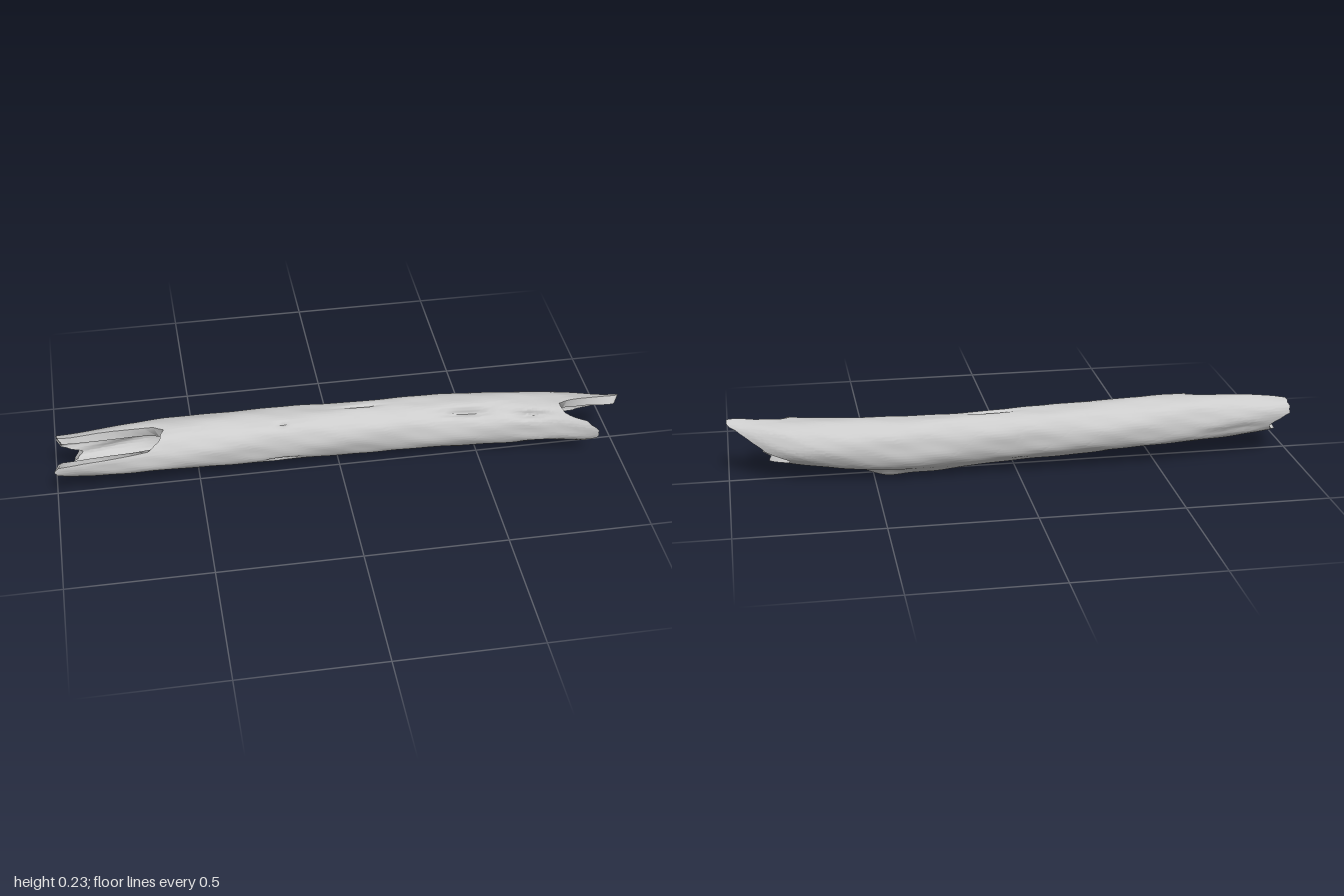
import * as THREE from 'three';
import { toCreasedNormals } from 'three/addons/utils/BufferGeometryUtils.js';

// Linear interpolation through [key, value...] rows
function lookup(rows, t, k = 1) {
  let i = 0;
  while (i < rows.length - 2 && t > rows[i + 1][0]) i++;
  const a = rows[i], b = rows[i + 1];
  const f = THREE.MathUtils.clamp((t - a[0]) / (b[0] - a[0]), 0, 1);
  return a[k] + (b[k] - a[k]) * f;
}

// Averaged lookup, so the long outline has no kinks
function smooth(rows, t, k) {
  let s = 0;
  for (let i = -2; i <= 2; i++) s += lookup(rows, t + i * 0.03, k);
  return s / 5;
}

// Outline along the shaft: x, bottom, top, back, front
const OUTLINE = [
  [-1, 0.093, 0.208, -0.092, 0.066], [-0.8, 0.072, 0.222, -0.112, 0.066],
  [-0.6, 0.058, 0.23, -0.126, 0.056], [-0.4, 0.052, 0.227, -0.136, 0.052],
  [-0.2, 0.042, 0.222, -0.14, 0.046], [0, 0.034, 0.217, -0.131, 0.04],
  [0.2, 0.027, 0.212, -0.132, 0.037], [0.4, 0.026, 0.208, -0.138, 0.046],
  [0.6, 0.036, 0.207, -0.122, 0.066], [0.8, 0.053, 0.206, -0.085, 0.102],
  [0.9, 0.06, 0.212, -0.04, 0.137], [1, 0.075, 0.228, 0.008, 0.15],
];

// Broken ends: angle in degrees (0 front, 90 top, 180 back), x of the edge
const LEFT_EDGE = [
  [0, 0.91], [15, 0.89], [30, 0.87], [38, 0.83], [50, 0.79], [72, 0.78], [88, 0.83], [105, 0.91],
  [118, 0.98], [124, 1], [146, 0.995], [152, 0.97], [166, 0.94], [180, 0.9], [195, 0.87], [215, 0.79],
  [240, 0.8], [262, 0.86], [280, 0.83], [300, 0.88], [318, 0.86], [335, 0.91], [360, 0.91],
];
const RIGHT_EDGE = [
  [0, -1], [12, -0.99], [18, -0.9], [26, -0.68], [45, -0.64], [75, -0.62], [88, -0.65], [96, -0.79],
  [104, -0.93], [114, -0.985], [170, -0.985], [190, -0.95], [210, -0.91], [235, -0.93],
  [255, -0.95], [280, -0.91], [305, -0.95], [335, -0.99], [360, -1],
];

// Dents and bumps: x, angle, length, angular width, height
const MARKS = [
  [0.45, 52, 0.1, 8, -0.02], [0.68, 44, 0.07, 8, -0.018], [-0.2, 57, 0.018, 5, -0.014],
  [-0.21, 325, 0.05, 4, -0.013], [0.08, 93, 0.07, 4, -0.009],
  [0.25, 305, 0.06, 6, -0.012], [0.55, 300, 0.09, 7, -0.016], [0.72, 315, 0.05, 8, -0.014],
  [-0.45, 245, 0.18, 14, -0.006], [0.05, 235, 0.2, 13, -0.008], [0.3, 270, 0.14, 12, 0.017],
  [0.46, 270, 0.08, 12, 0.025], [0.72, 262, 0.06, 12, -0.008], [-0.75, 205, 0.1, 12, -0.005],
];

// Ends of the two cavities: x, and the share of the skin's length they mark
const RIGHT_PLUG = [-0.55, 0.22], LEFT_PLUG = [0.66, 0.8];

function relief(x, deg) {
  const a = THREE.MathUtils.degToRad(deg);
  let h = 0.0016 * Math.sin(3 * a + 6 * x) + 0.0012 * Math.sin(5 * a - 13 * x + 1)
    + 0.001 * Math.sin(a * 9 + 21 * x) * Math.sin(17 * x);
  for (const [mx, ma, len, wide, height] of MARKS) {
    const d = ((deg - ma + 540) % 360) - 180;
    h += height * Math.exp(-(((x - mx) / len) ** 2) - (d / wide) ** 2);
  }
  return h;
}

// Point on the shaft; inside = true gives the marrow cavity wall
function shaftPoint(x, deg, inside) {
  const [bottom, top, back, front] = [1, 2, 3, 4].map((k) => smooth(OUTLINE, x, k));
  const a = THREE.MathUtils.degToRad(deg);
  // Slightly squared-off oval section
  const n = 2.25;
  const r = (Math.abs(Math.cos(a)) ** n + Math.abs(Math.sin(a)) ** n) ** (-1 / n);
  const c = Math.cos(a) * r, s = Math.sin(a) * r;
  let ry = (top - bottom) / 2, rz = (front - back) / 2;
  let h = relief(x, deg);
  if (inside) {
    // Each cavity closes to a point at its plug
    const depth = x < 0 ? RIGHT_PLUG[0] - x : x - LEFT_PLUG[0];
    const open = Math.sqrt(THREE.MathUtils.clamp(depth / 0.13, 0, 1));
    const wall = 0.58 + 0.05 * Math.sin(2 * a + 9 * x) + 0.03 * Math.sin(5 * a + 20 * x);
    ry *= open * wall;
    rz *= open * wall;
    h = 0;
  }
  return [x, (top + bottom) / 2 + s * (ry + h), (front + back) / 2 + c * (rz + h)];
}

// Closed skin: along the outside, round each broken rim and into its cavity
function shaftGeometry(steps = 150, sides = 120) {
  const pos = [], index = [], rows = steps * 2 + 2;
  const along = (i) => (i > steps ? rows - 1 - i : i) / steps;
  for (let i = 0; i < rows; i++) {
    const inside = i > steps;
    const inset = inside ? 0.015 : 0;
    for (let j = 0; j < sides; j++) {
      const deg = (j / sides) * 360;
      const chip = 0.004 * Math.sin(deg * 0.2) * Math.sin(deg * 0.1);
      const x0 = Math.max(-1, lookup(RIGHT_EDGE, deg) + chip) + inset;
      const x1 = Math.min(1, lookup(LEFT_EDGE, deg) + chip) - inset;
      // Only the end zones follow the ragged edges
      const [xr, ur] = RIGHT_PLUG, [xl, ul] = LEFT_PLUG;
      const x = lookup([[0, x0], [ur, xr], [ul, xl], [1, x1]], along(i));
      pos.push(...shaftPoint(x, deg, inside));
    }
  }
  for (let i = 0; i < rows; i++) {
    const u = along(i);
    // The middle of the shaft is solid
    if (i > steps && u > RIGHT_PLUG[1] + 1e-6 && u < LEFT_PLUG[1] + 1e-6) continue;
    for (let j = 0; j < sides; j++) {
      const n = (i + 1) % rows, m = (j + 1) % sides;
      const a = i * sides + j, b = n * sides + j, c = n * sides + m, d = i * sides + m;
      index.push(a, b, c, a, c, d);
    }
  }
  const geo = new THREE.BufferGeometry();
  geo.setAttribute('position', new THREE.Float32BufferAttribute(pos, 3));
  geo.setIndex(index);
  return toCreasedNormals(geo, 1.0);
}

export function createModel() {
  const group = new THREE.Group();
  group.name = 'brokenHollowShaft';
  const material = new THREE.MeshStandardMaterial({ color: 0xcccccc, side: THREE.DoubleSide });
  const shaft = new THREE.Mesh(shaftGeometry(), material);
  shaft.name = 'shaft';
  group.add(shaft);

  // Stand on the ground, centred
  const box = new THREE.Box3().setFromObject(group);
  const mid = box.getCenter(new THREE.Vector3());
  shaft.position.set(-mid.x, -box.min.y, -mid.z);
  return group;
}
